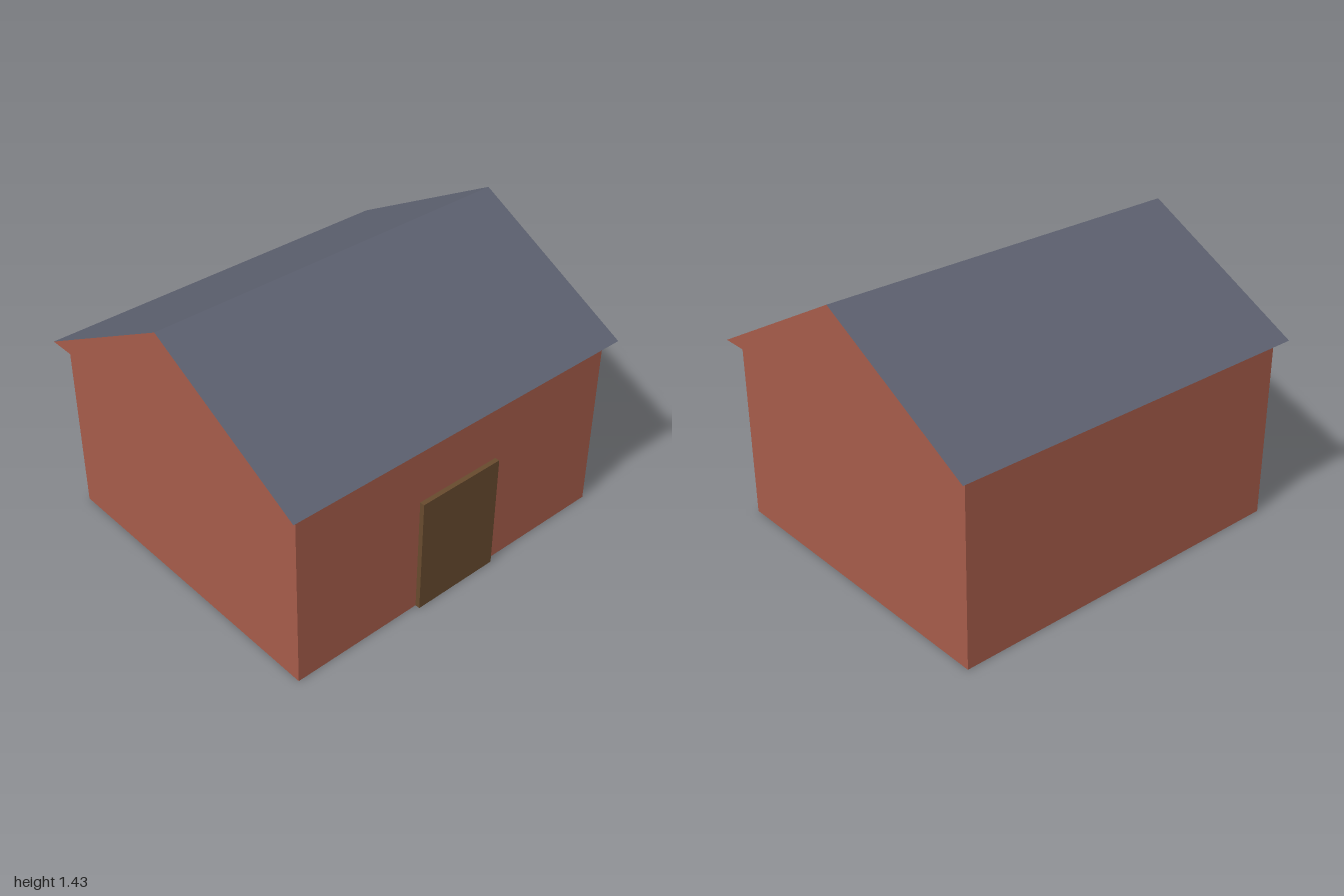
import * as THREE from 'three';

const EAVE = 0.955, RIDGE = 1.43, HALF_X = 1, HALF_Z = 0.88;

// flat polygon from corners listed counter-clockwise, as seen from outside
function panel(name, corners, material) {
  const geometry = new THREE.BufferGeometry();
  geometry.setAttribute('position', new THREE.Float32BufferAttribute(corners.flat(), 3));
  geometry.setIndex(corners.length === 4 ? [0, 1, 2, 0, 2, 3] : [0, 1, 2]);
  geometry.computeVertexNormals();
  const mesh = new THREE.Mesh(geometry, material);
  mesh.name = name;
  return mesh;
}

function box(name, w, h, d, z, material) {
  const mesh = new THREE.Mesh(new THREE.BoxGeometry(w, h, d), material);
  mesh.position.set(0, h / 2, z);
  mesh.name = name;
  return mesh;
}

export function createModel() {
  const paint = (name, color) =>
    new THREE.MeshStandardMaterial({ name, color, side: THREE.DoubleSide });
  const brick = paint('brick', 0xa65c4a);
  const slate = paint('slate', 0x5d6170);
  const wood = paint('wood', 0x674a2e);

  const house = new THREE.Group();
  house.name = 'house';

  // walls and door
  house.add(box('walls', 1.9, EAVE, 1.66, 0, brick));
  house.add(box('door', 0.48, 0.62, 0.025, 0.8425, wood));

  // roof shell, open underneath: a slope and a gable, each mirrored by a half turn
  const roof = new THREE.Group();
  roof.name = 'roof';
  for (const s of [1, -1]) {
    const x = s * HALF_X, z = s * HALF_Z;
    roof.add(panel(s > 0 ? 'frontSlope' : 'backSlope',
      [[-x, EAVE, z], [x, EAVE, z], [x, RIDGE, 0], [-x, RIDGE, 0]], slate));
    roof.add(panel(s > 0 ? 'leftGable' : 'rightGable',
      [[x, EAVE, z], [x, EAVE, -z], [x, RIDGE, 0]], brick));
  }
  house.add(roof);
  return house;
}
